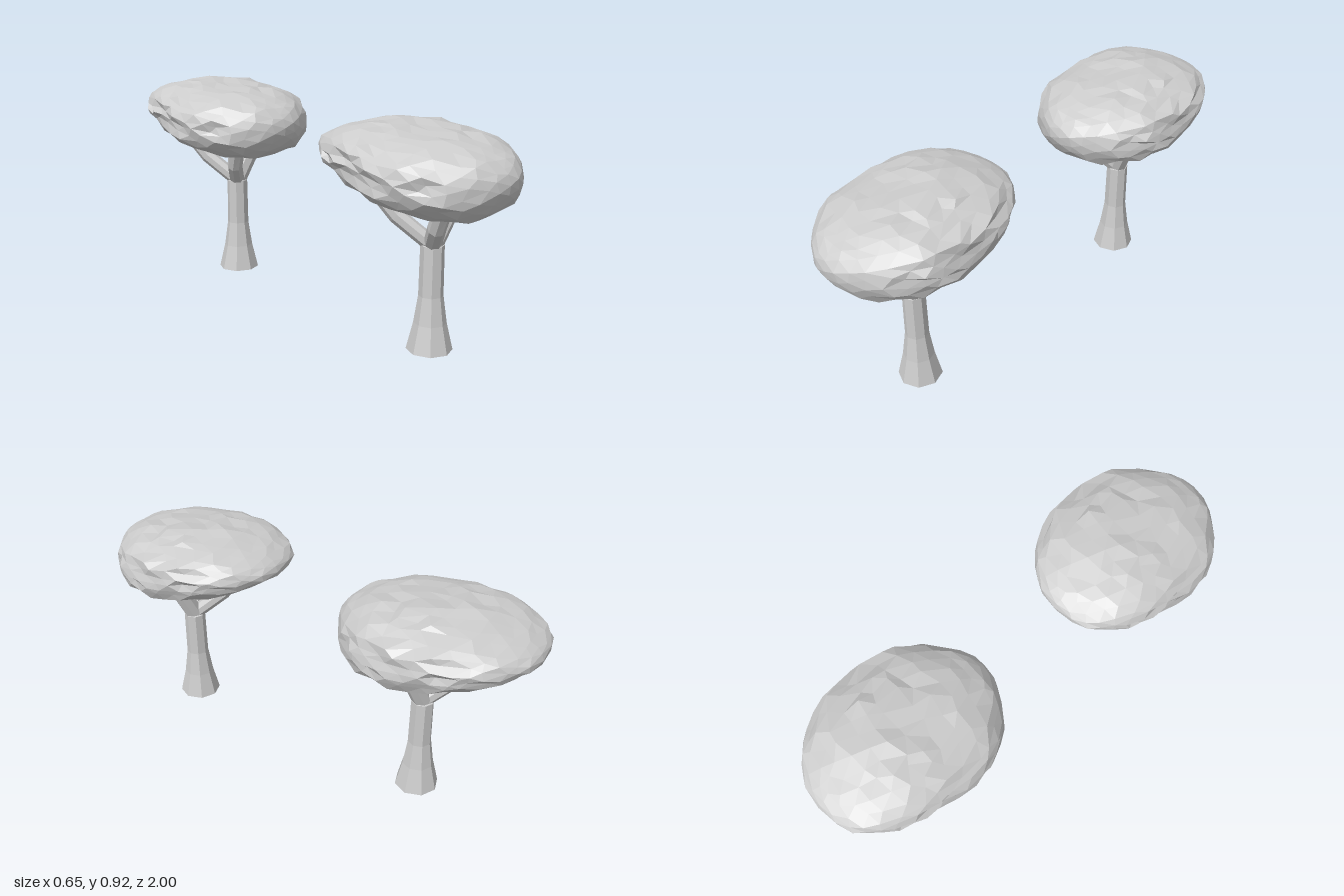
import * as THREE from 'three';
import { mergeVertices } from 'three/addons/utils/BufferGeometryUtils.js';

const bark = new THREE.MeshStandardMaterial({ color: 0xcccccc, flatShading: true });
const leaves = new THREE.MeshStandardMaterial({ color: 0xcccccc, flatShading: true });

function seeded(seed) {
  return () => {
    seed = (seed * 16807) % 2147483647;
    return seed / 2147483647;
  };
}

function part(name, geometry, material) {
  const mesh = new THREE.Mesh(geometry, material);
  mesh.name = name;
  return mesh;
}

// Flared eight-sided trunk, closed at both ends
function makeTrunk() {
  const profile = [[0, 0], [0.09, 0], [0.064, 0.11], [0.048, 0.22], [0.046, 0.42], [0, 0.44]];
  const geometry = new THREE.LatheGeometry(profile.map(([r, y]) => new THREE.Vector2(r, y)), 8);
  return part('trunk', geometry, bark);
}

// Eight-sided branch along a bent path
function makeBranch(name, points, radius) {
  const path = new THREE.CatmullRomCurve3(points.map((p) => new THREE.Vector3(...p)), false, 'catmullrom', 0.15);
  return part(name, new THREE.TubeGeometry(path, 4, radius, 8), bark);
}

// Crown sections from back to front: z, left and right x, bottom and top y
const sections = [
  [0.18, -0.08, 0.06, 0.75, 0.785],
  [0.21, -0.16, 0.12, 0.735, 0.81],
  [0.265, -0.22, 0.2, 0.695, 0.84],
  [0.35, -0.27, 0.26, 0.66, 0.867],
  [0.42, -0.29, 0.3, 0.625, 0.88],
  [0.52, -0.31, 0.315, 0.592, 0.89],
  [0.65, -0.335, 0.33, 0.562, 0.87],
  [0.78, -0.3, 0.3, 0.565, 0.858],
  [0.9, -0.225, 0.21, 0.575, 0.82],
  [0.96, -0.14, 0.13, 0.62, 0.79],
  [1, -0.05, 0.05, 0.69, 0.74],
];

function sectionAt(z) {
  const i = Math.max(1, sections.findIndex((s) => s[0] >= z - 1e-6));
  const [a, b] = [sections[i - 1], sections[i]];
  const t = (z - a[0]) / (b[0] - a[0]);
  return a.map((value, k) => THREE.MathUtils.lerp(value, b[k], t));
}

// Faceted crown: a roughened ball whose cross-sections follow the table
function makeCrown() {
  let geometry = new THREE.IcosahedronGeometry(1, 5);
  geometry.deleteAttribute('normal');
  geometry.deleteAttribute('uv');
  geometry = mergeVertices(geometry, 1e-3);
  const pos = geometry.attributes.position;
  const random = seeded(4217);
  const v = new THREE.Vector3();
  for (let i = 0; i < pos.count; i++) {
    v.fromBufferAttribute(pos, i);
    const ring = Math.hypot(v.x, v.y);
    const z = 0.59 + 0.41 * THREE.MathUtils.clamp(v.z + (random() - 0.5) * 0.1 * ring, -1, 1);
    const [, left, right, bottom, top] = sectionAt(z);
    const angle = Math.atan2(v.y, v.x) + (random() - 0.5) * 0.09;
    const [c, s] = [Math.cos(angle), Math.sin(angle)];
    const boxy = (Math.abs(c) ** 2.4 + Math.abs(s) ** 2.4) ** (-1 / 2.4);
    const radius = ring > 1e-4 ? boxy * (0.93 + 0.1 * random()) : 0;
    const x = (left + right) / 2 + c * radius * (right - left) / 2;
    const y = (bottom + top) / 2 + s * radius * (top - bottom) / 2;
    pos.setXYZ(i, x, y, z);
  }
  geometry = geometry.toNonIndexed();
  geometry.computeVertexNormals();
  return part('crown', geometry, leaves);
}

function makeTree(name, y, trunkZ, crownShift) {
  const tree = new THREE.Group();
  tree.name = name;

  const wood = new THREE.Group();
  wood.name = 'wood';
  wood.add(makeTrunk());
  const fork = [0, 0.42, 0];
  wood.add(makeBranch('leftBranch', [fork, [0.05, 0.53, 0.02], [0.1, 0.64, 0.04]], 0.04));
  wood.add(makeBranch('backBranch', [fork, [-0.115, 0.57, -0.15], [-0.12, 0.68, -0.17]], 0.032));
  wood.add(makeBranch('frontBranch', [fork, [-0.08, 0.53, 0.09], [-0.08, 0.64, 0.13]], 0.035));
  wood.position.set(0.02, y, trunkZ);
  tree.add(wood);

  const crown = makeCrown();
  crown.position.set(0, y, crownShift);
  tree.add(crown);
  return tree;
}

export function createModel() {
  const model = new THREE.Group();
  model.name = 'trees';
  model.add(makeTree('frontTree', 0, 0.645, 0));
  model.add(makeTree('backTree', 0.035, -0.555, -1.18));
  return model;
}
